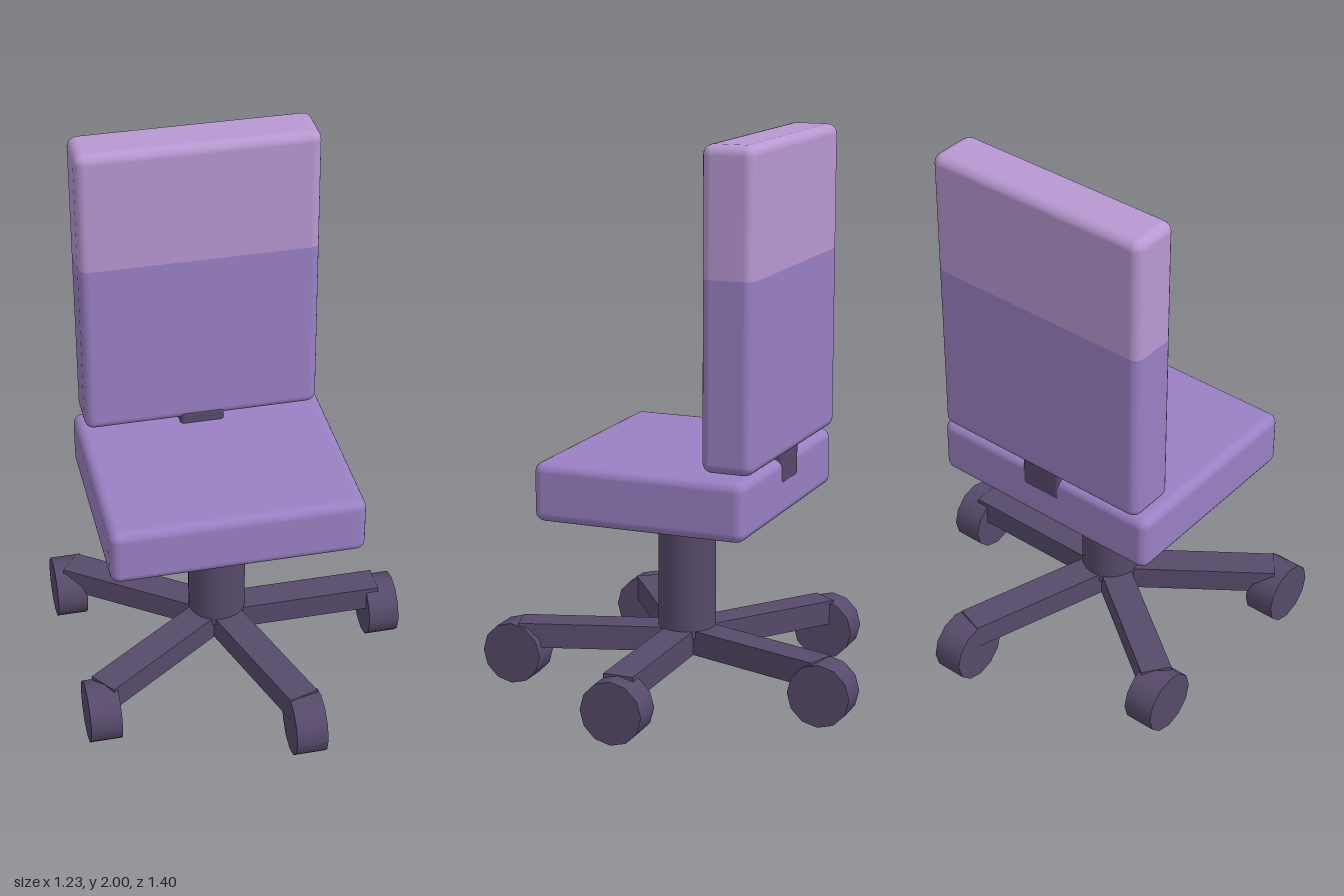
import * as THREE from 'three';
import { RoundedBoxGeometry } from 'three/addons/geometries/RoundedBoxGeometry.js';

const HUB_X = -0.06;

export function createModel() {
  const model = new THREE.Group();
  const paint = (color) => new THREE.MeshStandardMaterial({ color });
  const cushion = paint(0x9a80c4), headrest = paint(0xb898d2), frame = paint(0x574a6b);

  const add = (name, geometry, material, x, y, z, parent = model) => {
    const mesh = new THREE.Mesh(geometry, material);
    mesh.name = name;
    mesh.position.set(x, y, z);
    parent.add(mesh);
    return mesh;
  };

  // Flatten everything outside a height band, leaving one slice of a rounded box
  const slice = (geometry, low, high) => {
    const p = geometry.attributes.position;
    for (let i = 0; i < p.count; i++) p.setY(i, THREE.MathUtils.clamp(p.getY(i), low, high));
    return geometry;
  };

  // Seat cushion
  add('seat', new RoundedBoxGeometry(0.9, 0.21, 0.775, 3, 0.035), cushion, HUB_X, 0.785, 0.002);

  // Backrest in two tones, split at y = 1.56
  const backY = 1.4525, split = 1.56 - backY;
  const back = () => new RoundedBoxGeometry(0.85, 1.095, 0.185, 3, 0.035);
  add('backrestLower', slice(back(), -1, split), cushion, HUB_X, backY, -0.3125);
  add('backrestUpper', slice(back(), split, 1), headrest, HUB_X, backY, -0.3125);

  // Bracket joining the seat and backrest
  add('backBracket', new RoundedBoxGeometry(0.16, 0.135, 0.17, 2, 0.015), frame, HUB_X, 0.868, -0.304);

  // Central column
  add('column', new THREE.CylinderGeometry(0.104, 0.104, 0.5, 24), frame, HUB_X, 0.45, 0);

  // Five-star base: arms radiate, wheels all roll along z
  const armGeometry = new THREE.BoxGeometry(0.605, 0.09, 0.11).translate(0.3025, 0, 0);
  const wheelGeometry = new THREE.CylinderGeometry(0.1125, 0.1125, 0.112, 12).rotateZ(Math.PI / 2);
  const base = new THREE.Group();
  base.name = 'base';
  base.position.x = HUB_X;
  model.add(base);
  for (let i = 0; i < 5; i++) {
    const angle = (i * Math.PI * 2) / 5;
    add('arm', armGeometry, frame, 0, 0.182, 0, base).rotation.y = angle;
    add('wheel', wheelGeometry, frame, Math.cos(angle) * 0.616, 0.1125, -Math.sin(angle) * 0.616, base);
  }
  return model;
}
